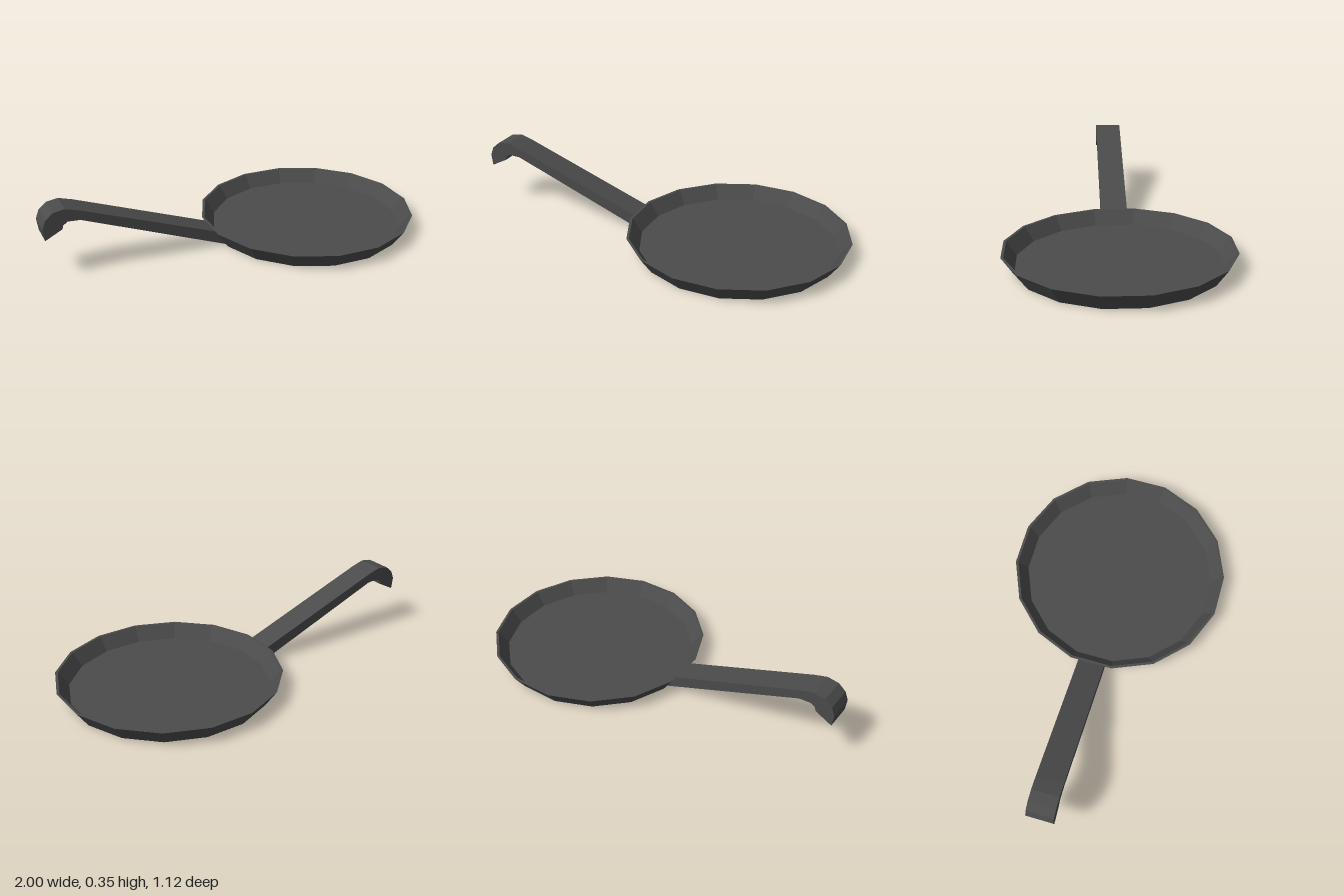
import * as THREE from 'three';

const SIDES = 16;
const PAN_X = 0.44;
const HANDLE_WIDTH = 0.14;

export function createModel() {
  const group = new THREE.Group();
  group.name = 'fryingPan';

  const iron = new THREE.MeshStandardMaterial({ color: 0x4b4b4b, flatShading: true });
  iron.name = 'dark iron';

  // Pan: closed profile (flat-to-flat radius, height) from the underside, over the rim, to the inner floor
  const toCorner = 1 / Math.cos(Math.PI / SIDES);
  const profile = [
    [0, 0], [0.502, 0], [0.56, 0.085], [0.547, 0.085], [0.497, 0.015], [0, 0.015],
  ].map(([r, y]) => new THREE.Vector2(r * toCorner, y));
  const pan = new THREE.Mesh(
    new THREE.LatheGeometry(profile, SIDES, Math.PI / SIDES), iron);
  pan.name = 'pan';
  pan.position.x = PAN_X;
  group.add(pan);

  // Handle: sloping bar with a hooked end, extruded across its width
  const outline = [
    [-0.062, 0], [-0.12, 0.085], [-0.815, 0.335], [-0.885, 0.355], [-0.945, 0.345],
    [-0.983, 0.312], [-1, 0.268], [-0.992, 0.207], [-0.905, 0.253], [-0.9, 0.272],
    [-0.877, 0.288], [-0.815, 0.285],
  ].map(([x, y]) => new THREE.Vector2(x, y));
  const handleGeometry = new THREE.ExtrudeGeometry(new THREE.Shape(outline), {
    depth: HANDLE_WIDTH, bevelEnabled: false,
  });
  handleGeometry.translate(0, 0, -HANDLE_WIDTH / 2);
  const handle = new THREE.Mesh(handleGeometry, iron);
  handle.name = 'handle';
  group.add(handle);

  return group;
}
